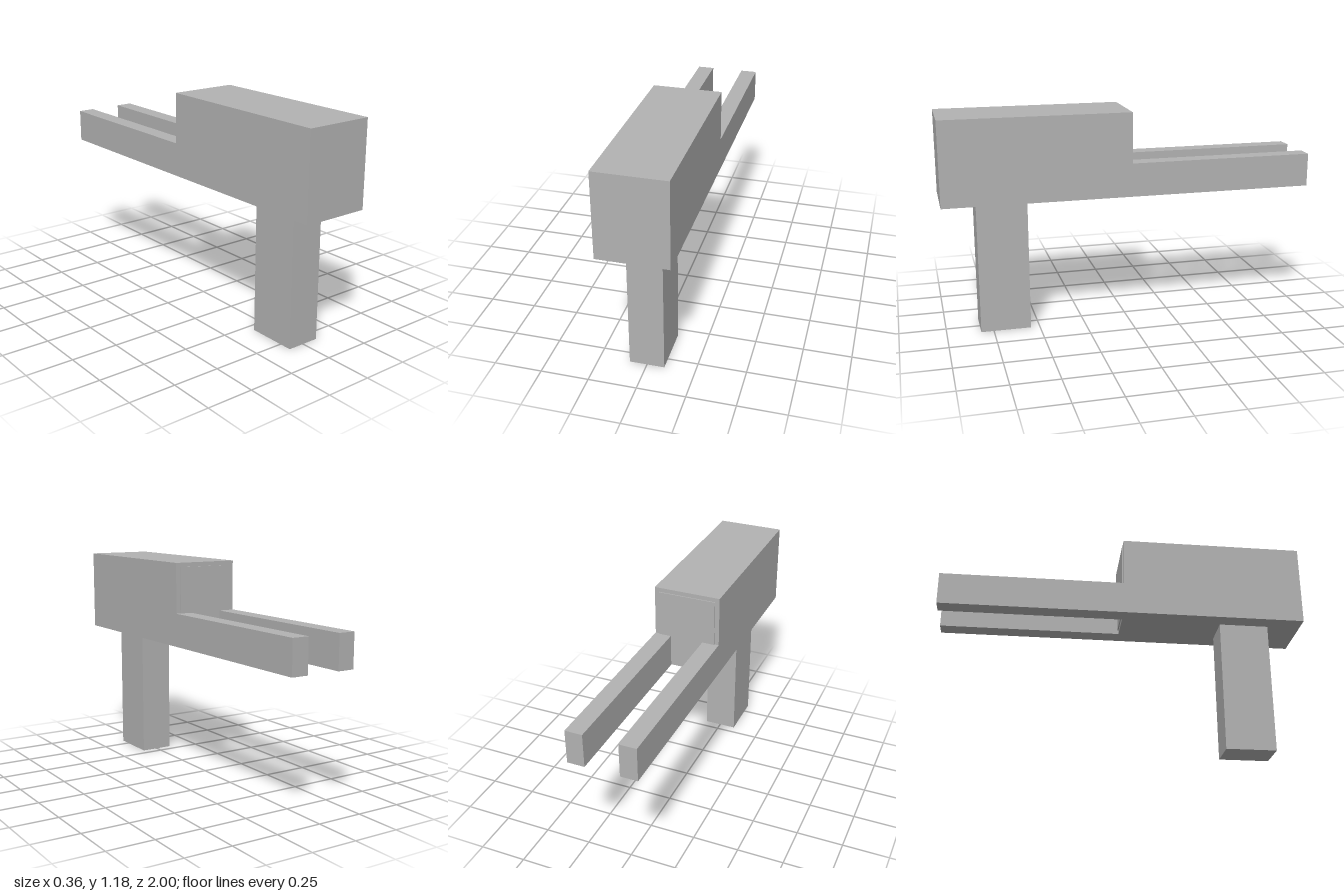
import * as THREE from 'three';

export function createModel() {
  const model = new THREE.Group();
  const grey = new THREE.MeshStandardMaterial({ color: 0xb2b2b2 });
  grey.name = 'grey';

  // Box given by its extents on each axis
  function box(name, [x0, x1], [y0, y1], [z0, z1]) {
    const mesh = new THREE.Mesh(new THREE.BoxGeometry(x1 - x0, y1 - y0, z1 - z0), grey);
    mesh.position.set((x0 + x1) / 2, (y0 + y1) / 2, (z0 + z1) / 2);
    mesh.name = name;
    model.add(mesh);
  }

  const half = 0.182, inner = 0.091, base = 0.725;

  // Main block and the handle under it
  box('body', [-half, half], [base, 1.176], [0, 1]);
  box('handle', [-inner, inner], [0, base], [0.548, 0.818]);

  // Thin raised panel on the rear face
  box('rearPanel', [-0.158, 0.158], [0.748, 1.153], [-0.006, 0]);

  // Pair of rails reaching backwards
  box('leftRail', [inner, half], [base, 0.905], [-1, 0]);
  box('rightRail', [-half, -inner], [base, 0.905], [-1, 0]);

  return model;
}
